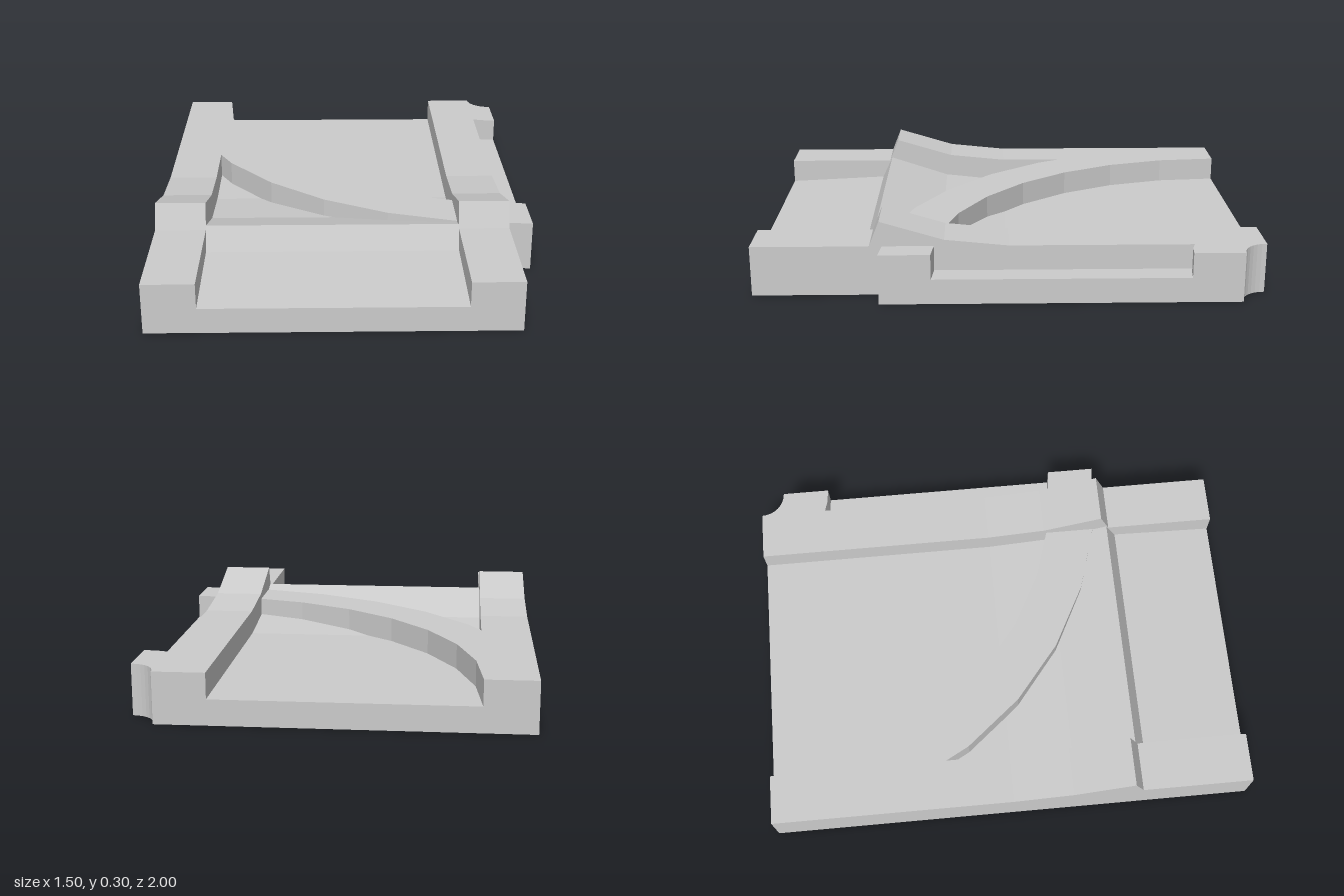
import * as THREE from 'three';

const material = new THREE.MeshStandardMaterial({ color: 0xcccccc });

// Pivot shared by all curved edges
const CX = 0.75, CZ = -1, STEPS = 8;

// Faceted quarter arc about the pivot, clipped to x0..x1, as [x, z] points
function arc(radius, x0, x1) {
  const raw = [];
  for (let i = 0; i <= STEPS; i++) {
    const a = (i / STEPS) * Math.PI / 2;
    raw.push([CX - radius * Math.cos(a), CZ + radius * Math.sin(a)]);
  }
  const out = [];
  const eps = 1e-6;
  raw.forEach((p, i) => {
    if (i > 0) {
      const q = raw[i - 1];
      for (const x of [x0, x1]) {
        if (q[0] < x - eps && p[0] > x + eps) {
          out.push([x, q[1] + (p[1] - q[1]) * (x - q[0]) / (p[0] - q[0])]);
        }
      }
    }
    if (p[0] > x0 - eps && p[0] < x1 + eps) out.push(p);
  });
  return out;
}

function mesh(name, geometry) {
  const m = new THREE.Mesh(geometry, material);
  m.name = name;
  return m;
}

// Side profile of [z, y] points swept from x0 to x1
function sweepX(name, profile, x0, x1) {
  const shape = new THREE.Shape(profile.map(([z, y]) => new THREE.Vector2(-z, y)));
  const g = new THREE.ExtrudeGeometry(shape, { depth: x1 - x0, bevelEnabled: false });
  g.rotateY(Math.PI / 2).translate(x0, 0, 0);
  return mesh(name, g);
}

// Plan between two arcs, raised from y0 to y1
function ringPart(name, inner, outer, x0, x1, y0, y1) {
  const plan = [...arc(inner, x0, x1), ...arc(outer, x0, x1).reverse()];
  const shape = new THREE.Shape(plan.map(([x, z]) => new THREE.Vector2(x, -z)));
  const g = new THREE.ExtrudeGeometry(shape, { depth: y1 - y0, bevelEnabled: false });
  g.rotateX(-Math.PI / 2).translate(0, y0, 0);
  return mesh(name, g);
}

export function createModel() {
  const group = new THREE.Group();
  group.name = 'trackTile';

  // Side walls with the ramp hump
  const wall = [[1, 0], [1, 0.2], [0.54, 0.2], [0.5, 0.3], [0.25, 0.225], [0, 0.2], [-1, 0.2], [-1, 0]];
  group.add(sweepX('rightWall', wall, -0.75, -0.55));
  group.add(sweepX('leftWall', wall, 0.45, 0.65));

  // Sunken floor with its own ramp
  const floor = [[1, 0], [1, 0.1], [0.575, 0.12], [0.53, 0.215], [0.27, 0.129], [0.005, 0.1], [-1, 0.1], [-1, 0]];
  group.add(sweepX('floor', floor, -0.55, 0.45));

  // Curved divider crossing the floor
  group.add(ringPart('curvedDivider', 1.3, 1.5, -0.55, 0.45, 0.03, 0.2));

  // Side ledge: low base with a raised block at each end
  group.add(ringPart('ledgeBase', 0.1, 1.5, 0.65, 0.75, 0, 0.1));
  group.add(ringPart('ledgeBackBlock', 0.1, 0.3, 0.65, 0.75, 0.1, 0.2));
  group.add(ringPart('ledgeFrontBlock', 1.3, 1.5, 0.65, 0.75, 0.1, 0.2));

  return group;
}
